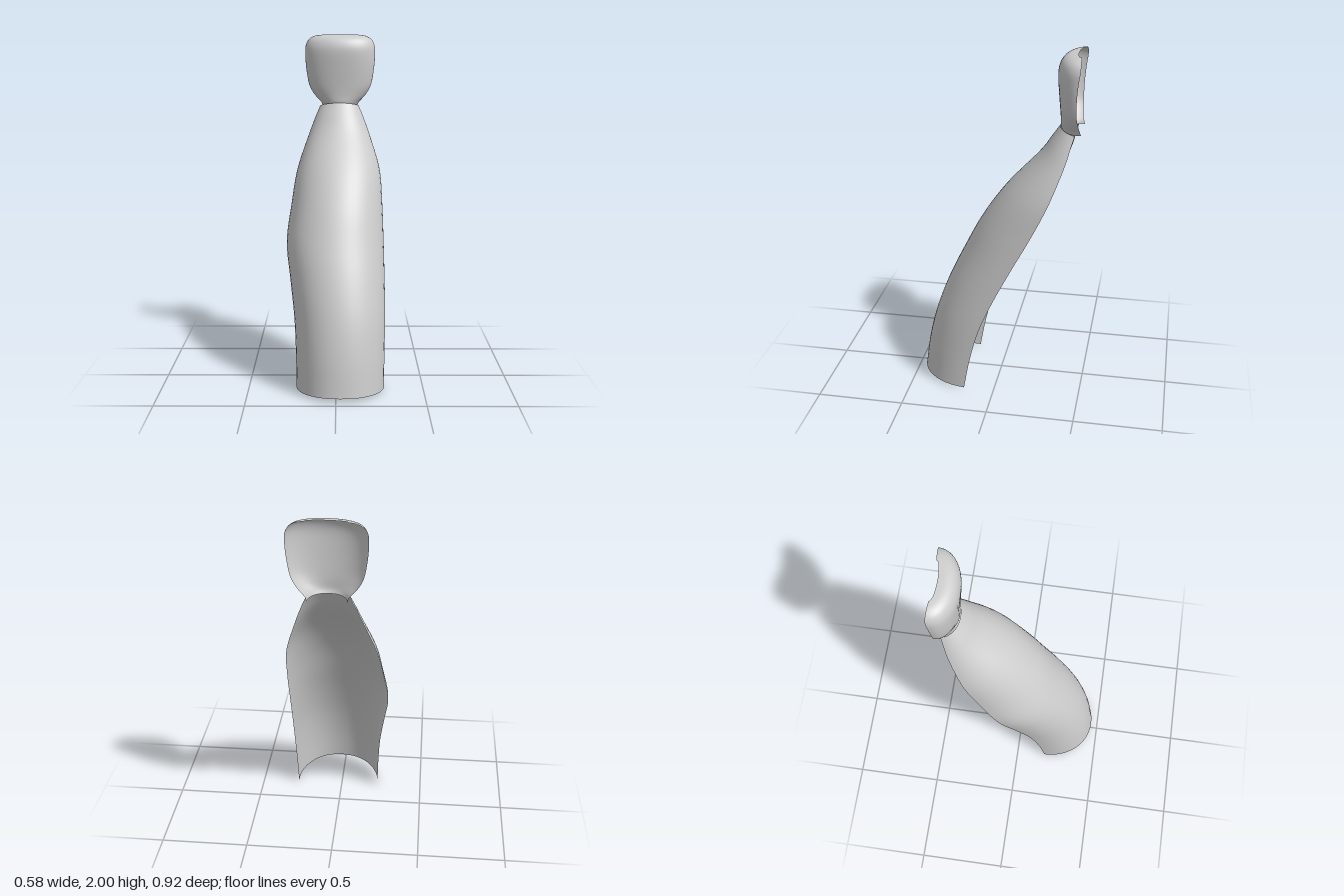
import * as THREE from 'three';

// Open half-round shell lofted through rows of [y, xMin, xMax, zFront, zBack]
function shell(rows, { tilt = 0, across = 24, along = 40 }) {
  const widths = new THREE.CatmullRomCurve3(
    rows.map(r => new THREE.Vector3(r[0], r[1], r[2])), false, 'catmullrom', 0.5);
  const depths = new THREE.CatmullRomCurve3(
    rows.map(r => new THREE.Vector3(r[3], r[4], 0)), false, 'catmullrom', 0.5);
  const pos = [], idx = [], cols = across + 1;
  for (let i = 0; i <= along; i++) {
    const w = widths.getPoint(i / along), d = depths.getPoint(i / along);
    const cx = (w.y + w.z) / 2, hw = (w.z - w.y) / 2;
    for (let j = 0; j <= across; j++) {
      const a = Math.PI * j / across, s = Math.sin(a), c = Math.cos(a);
      const bulge = Math.pow(Math.max(s, 0), 0.95);
      pos.push(
        cx + hw * Math.sign(c) * Math.pow(Math.abs(c), 0.95),
        w.x + tilt * s,
        d.y + (d.x - d.y) * bulge);
      if (i < along && j < across) {
        const k = i * cols + j;
        idx.push(k, k + cols, k + 1, k + 1, k + cols, k + cols + 1);
      }
    }
  }
  const g = new THREE.BufferGeometry();
  g.setAttribute('position', new THREE.Float32BufferAttribute(pos, 3));
  g.setIndex(idx);
  g.computeVertexNormals();
  return g;
}

export function createModel() {
  const model = new THREE.Group();
  const grey = new THREE.MeshStandardMaterial({ color: 0xcccccc, side: THREE.DoubleSide });
  grey.name = 'light grey';

  const add = (name, geometry) => {
    const mesh = new THREE.Mesh(geometry, grey);
    mesh.name = name;
    model.add(mesh);
  };

  // Long leaning trough, open at the back
  add('leaningShell', shell([
    [0.00, -0.228, 0.277, 0.46, 0.178],
    [0.20, -0.232, 0.281, 0.43, 0.14],
    [0.40, -0.243, 0.285, 0.38, 0.085],
    [0.60, -0.268, 0.284, 0.305, 0.00],
    [0.80, -0.292, 0.281, 0.21, -0.10],
    [1.00, -0.268, 0.276, 0.105, -0.205],
    [1.20, -0.235, 0.262, -0.035, -0.30],
    [1.40, -0.168, 0.203, -0.215, -0.375],
    [1.50, -0.13, 0.167, -0.285, -0.403],
    [1.57, -0.1, 0.138, -0.332, -0.422],
  ], { tilt: 0.025 }));

  // Upright rounded cap with a small lip at the neck, hollow at the back
  const cx = 0.023;
  add('curvedHead', shell([
    [1.57, 0.105, -0.345, -0.455],
    [1.595, 0.115, -0.335, -0.448],
    [1.64, 0.155, -0.334, -0.442],
    [1.70, 0.188, -0.330, -0.436],
    [1.80, 0.206, -0.321, -0.437],
    [1.89, 0.212, -0.315, -0.445],
    [1.94, 0.208, -0.322, -0.452],
    [1.975, 0.188, -0.342, -0.453],
    [1.994, 0.152, -0.375, -0.450],
    [2.00, 0.110, -0.422, -0.446],
  ].map(([y, hw, zf, zb]) => [y, cx - hw, cx + hw, zf, zb]), { along: 36 }));

  return model;
}
